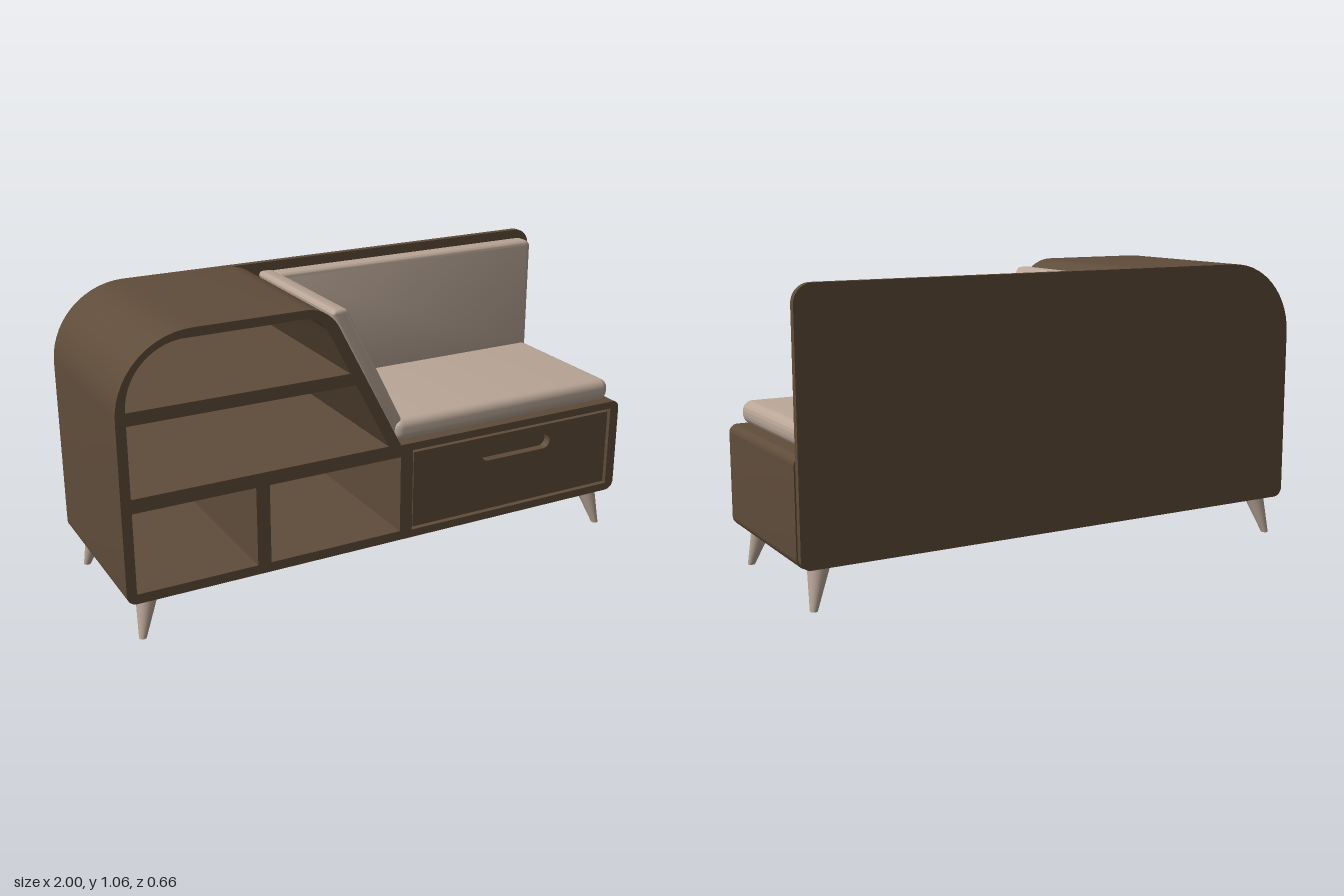
import * as THREE from 'three';
import { toCreasedNormals } from 'three/addons/utils/BufferGeometryUtils.js';

const wood = new THREE.MeshStandardMaterial({ color: 0x5f4c3a });
wood.name = 'dark wood';
const fabric = new THREE.MeshStandardMaterial({ color: 0xb9a697 });
fabric.name = 'beige fabric and pale legs';

// Closed outline through corners [x, y, radius], each corner rounded by its radius
function outline(corners, target = new THREE.Shape()) {
  const n = corners.length;
  corners.forEach(([x, y, r = 0], i) => {
    const p = new THREE.Vector2(x, y);
    const toward = (c) => new THREE.Vector2(c[0], c[1]).sub(p).normalize();
    const a = toward(corners[(i + n - 1) % n]);
    const b = toward(corners[(i + 1) % n]);
    const turn = Math.PI - Math.acos(a.dot(b));
    const t = r * Math.tan(turn / 2);
    const k = t - (4 / 3) * Math.tan(turn / 4) * r;
    const at = (d, s) => p.clone().addScaledVector(d, s);
    const start = at(a, t), c1 = at(a, k), c2 = at(b, k), end = at(b, t);
    if (i === 0) target.moveTo(start.x, start.y);
    else target.lineTo(start.x, start.y);
    if (r > 0) target.bezierCurveTo(c1.x, c1.y, c2.x, c2.y, end.x, end.y);
  });
  target.closePath();
  return target;
}

const hole = (corners) => outline(corners, new THREE.Path());
const rect = (x0, y0, x1, y1, r = 0) => [[x0, y0, r], [x1, y0, r], [x1, y1, r], [x0, y1, r]];

// Extrude an outline between two depths, with optional rounded front and back edges
function slab(name, shape, z0, z1, material, bevel = 0) {
  const geometry = new THREE.ExtrudeGeometry(shape, {
    depth: z1 - z0 - 2 * bevel,
    curveSegments: 14,
    bevelEnabled: bevel > 0,
    bevelThickness: bevel,
    bevelSize: bevel,
    bevelOffset: -bevel,
    bevelSegments: 5,
  });
  geometry.translate(0, 0, z0 + bevel);
  const mesh = new THREE.Mesh(toCreasedNormals(geometry, 0.6), material);
  mesh.name = name;
  return mesh;
}

export function createModel() {
  const model = new THREE.Group();
  model.name = 'storageBench';

  // Cabinet with a curved shelf tower and a low base
  const body = outline([
    [-1, 0.145, 0.035], [1, 0.145, 0.035], [1, 0.515, 0.03],
    [0.03, 0.515], [-0.253, 1.06, 0.14], [-1, 1.06, 0.27],
  ]);
  body.holes.push(
    hole([[-0.965, 0.815], [-0.172, 0.815], [-0.284, 1.03, 0.1], [-0.965, 1.03, 0.212]]),
    hole([[-0.965, 0.52], [-0.02, 0.52], [-0.15, 0.77], [-0.965, 0.77]]),
    hole(rect(-0.965, 0.18, -0.53, 0.47)),
    hole(rect(-0.48, 0.18, 0.03, 0.47)),
    hole(rect(0.08, 0.175, 0.962, 0.487)),
  );
  model.add(slab('cabinetBody', body, -0.305, 0.33, wood));

  // Full-height back panel
  const back = outline([
    [-1, 0.145, 0.035], [0.995, 0.145, 0.035], [0.995, 1.06, 0.065], [-1, 1.06, 0.27],
  ]);
  model.add(slab('backPanel', back, -0.33, -0.305, wood));

  // Drawer front with a slot handle, and the drawer box behind it
  const drawer = outline(rect(0.088, 0.182, 0.955, 0.474));
  drawer.holes.push(hole(rect(0.38, 0.378, 0.685, 0.436, 0.028)));
  model.add(slab('drawerFront', drawer, 0.29, 0.322, wood));
  model.add(slab('drawerBox', outline(rect(0.1, 0.19, 0.945, 0.465)), -0.28, 0.29, wood));

  // Cushions
  model.add(slab('seatCushion', outline(rect(0.015, 0.517, 0.96, 0.602, 0.036)),
    -0.29, 0.318, fabric, 0.032));
  model.add(slab('backCushion', outline([
    [0.04, 0.57, 0.02], [0.952, 0.57, 0.02], [0.952, 1.032, 0.025], [-0.195, 1.032, 0.022],
  ]), -0.297, -0.222, fabric, 0.018));
  model.add(slab('sideCushion', outline([
    [0.024, 0.53, 0.016], [0.085, 0.53, 0.016], [-0.168, 1.034, 0.016], [-0.234, 1.034, 0.016],
  ]), -0.297, 0.302, fabric, 0.014));

  // Four tapered legs, leaning outward with flat tops and feet
  for (const sx of [-1, 1]) {
    for (const sz of [-1, 1]) {
      const geometry = new THREE.CylinderGeometry(0.04, 0.013, 0.15, 24);
      geometry.applyMatrix4(new THREE.Matrix4().makeShear(0, 0, -sx * 0.24, -sz * 0.24, 0, 0));
      const leg = new THREE.Mesh(geometry, fabric);
      leg.name = `${sz > 0 ? 'front' : 'back'}${sx > 0 ? 'Left' : 'Right'}Leg`;
      leg.position.set(sx * 0.928, 0.075, sz * 0.285);
      model.add(leg);
    }
  }
  return model;
}
